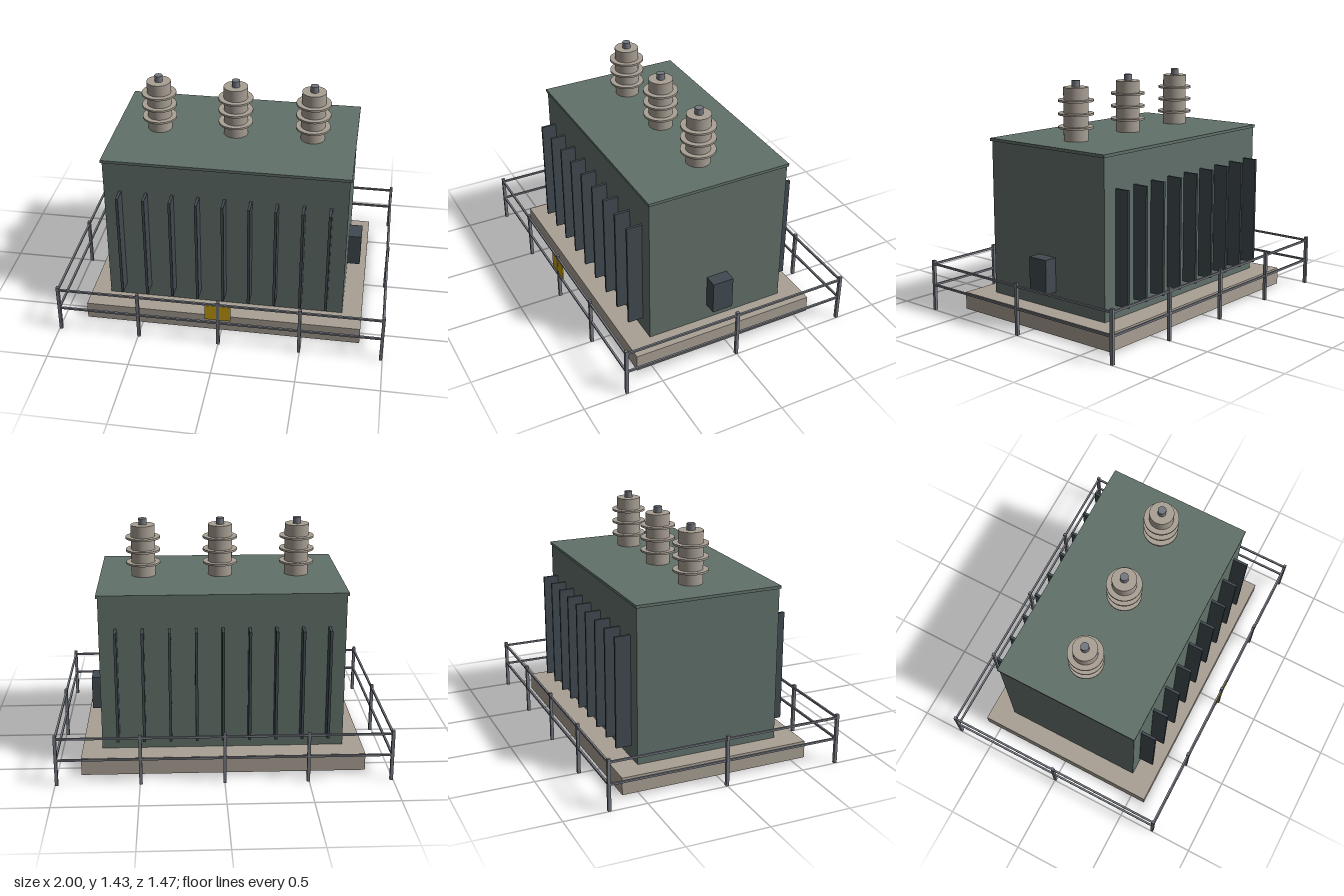
import * as THREE from 'three';

const mat = (name, color) => new THREE.MeshStandardMaterial({ name, color });

export function createModel() {
  const model = new THREE.Group();
  model.name = 'powerTransformer';

  const green = mat('tankGreen', 0x62716a);
  const stone = mat('concreteBeige', 0xa9a095);
  const dark = mat('finSlate', 0x414a51);
  const steel = mat('railSteel', 0x73777f);
  const yellow = mat('signYellow', 0xc9a00e);

  const add = (parent, name, geometry, material, x, y, z) => {
    const mesh = new THREE.Mesh(geometry, material);
    mesh.name = name;
    mesh.position.set(x, y, z);
    parent.add(mesh);
    return mesh;
  };
  // Box given by its centre in x and z, and its bottom and top heights
  const box = (parent, name, material, w, d, y0, y1, x = 0, z = 0) =>
    add(parent, name, new THREE.BoxGeometry(w, y1 - y0, d), material, x, (y0 + y1) / 2, z);
  const cylinder = (parent, name, material, r, y0, y1) =>
    add(parent, name, new THREE.CylinderGeometry(r, r, y1 - y0, 32), material, 0, (y0 + y1) / 2, 0);
  const group = (name) => {
    const g = new THREE.Group();
    g.name = name;
    model.add(g);
    return g;
  };

  // Plinth, tank and lid
  box(model, 'plinth', stone, 1.71, 1.19, 0, 0.107);
  box(model, 'tank', green, 1.47, 0.9, 0.107, 1.06);
  box(model, 'lid', green, 1.49, 0.914, 1.06, 1.078);

  // Cooling fins on the front and back
  const fins = group('coolingFins');
  for (const side of [-1, 1]) {
    for (let i = -4; i <= 4; i++) {
      box(fins, 'coolingFin', dark, 0.016, 0.097, 0.187, 0.872, i * 0.1585, side * 0.4965);
    }
  }

  // Control box on the left side
  box(model, 'controlBox', dark, 0.082, 0.134, 0.212, 0.422, 0.776, 0);

  // Insulated bushings with three sheds and a terminal each
  for (const x of [-0.475, 0, 0.475]) {
    const bushing = group('bushing');
    bushing.position.x = x;
    cylinder(bushing, 'insulator', stone, 0.074, 1.078, 1.396);
    for (const y of [1.158, 1.238, 1.317]) {
      cylinder(bushing, 'shed', stone, 0.106, y - 0.006, y + 0.006);
    }
    cylinder(bushing, 'terminal', steel, 0.025, 1.396, 1.435);
  }

  // Perimeter fence
  const fence = group('fence');
  const X = 0.99, Z = 0.727;
  const post = (x, z) => box(fence, 'fencePost', steel, 0.019, 0.019, 0, 0.317, x, z);
  for (const side of [-1, 1]) {
    for (let i = -2; i <= 2; i++) post(i * X / 2, side * Z);
    post(side * X, 0);
    for (const y of [0.16, 0.295]) {
      box(fence, 'longRail', steel, 2 * X, 0.012, y - 0.006, y + 0.006, 0, side * Z);
      box(fence, 'shortRail', steel, 0.012, 2 * Z, y - 0.006, y + 0.006, side * X, 0);
    }
  }

  // Warning plate on the front fence
  box(model, 'warningPlate', yellow, 0.158, 0.008, 0.188, 0.29, 0, Z + 0.004);

  return model;
}
